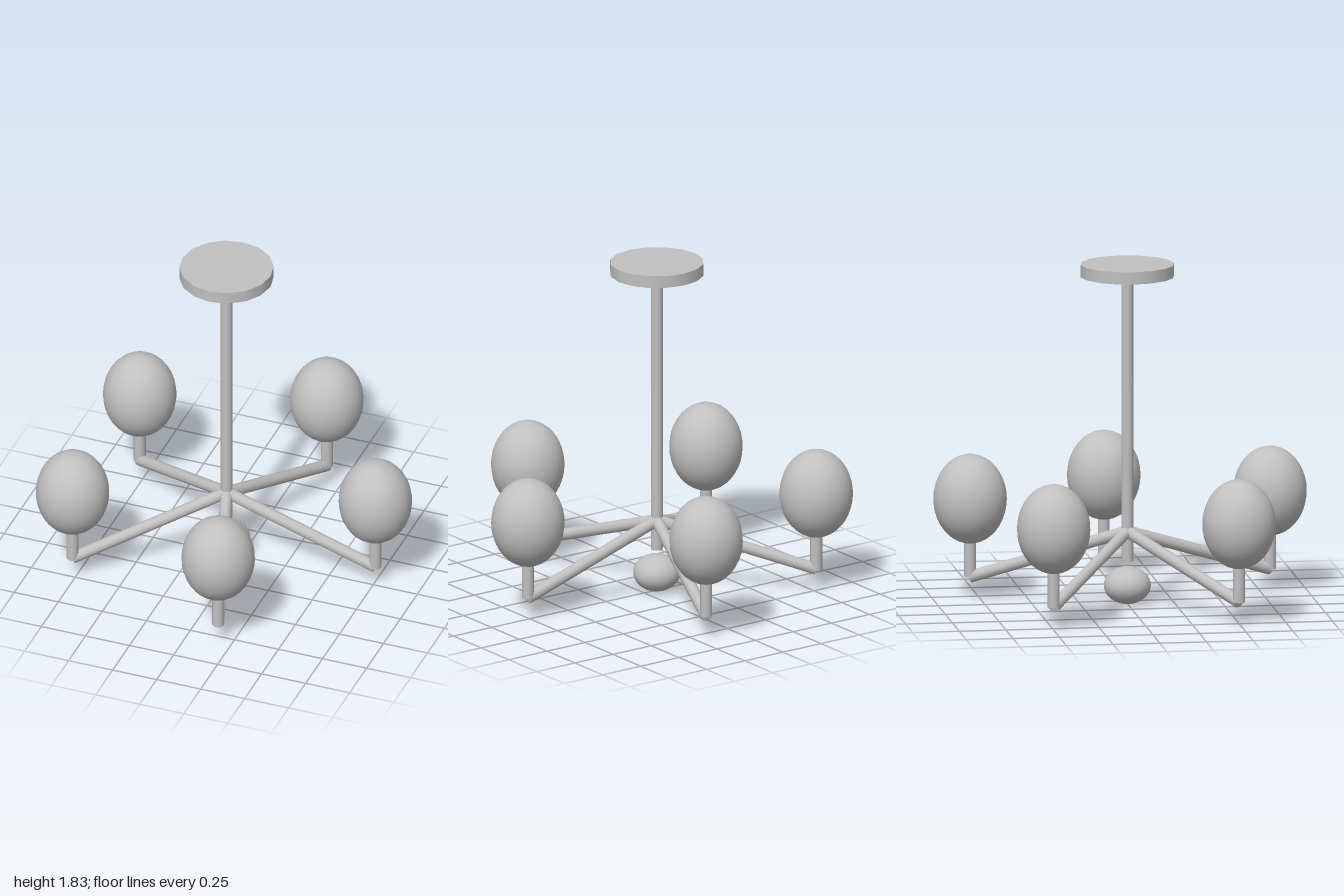
import * as THREE from 'three';

export function createModel() {
  const model = new THREE.Group();
  model.name = 'chandelier';
  const metal = new THREE.MeshStandardMaterial({ color: 0xc0c0c0 });
  metal.name = 'light grey';

  const add = (parent, name, geometry) => {
    const mesh = new THREE.Mesh(geometry, metal);
    mesh.name = name;
    parent.add(mesh);
    return mesh;
  };

  // Round bar between two points
  const bar = (parent, name, from, to, radius) => {
    const a = new THREE.Vector3(...from);
    const dir = new THREE.Vector3(...to).sub(a);
    const mesh = add(parent, name, new THREE.CylinderGeometry(radius, radius, dir.length(), 12));
    mesh.position.copy(a).addScaledVector(dir, 0.5);
    mesh.quaternion.setFromUnitVectors(new THREE.Vector3(0, 1, 0), dir.normalize());
  };

  // Everything hangs around one off-centre axis
  const body = new THREE.Group();
  body.name = 'body';
  body.position.x = -0.083;
  model.add(body);

  // Ceiling plate, hanging rod and finial
  add(body, 'ceilingPlate', new THREE.CylinderGeometry(0.25, 0.25, 0.066, 16)).position.y = 1.798;
  bar(body, 'hangingRod', [0, 0.23, 0], [0, 1.77, 0], 0.032);
  const finial = add(body, 'finial', new THREE.SphereGeometry(0.125, 32, 20));
  finial.scale.y = 0.8;
  finial.position.y = 0.1;

  // Five drooping arms, each with an upright stem and an egg-shaped globe
  const reach = 0.845;
  for (let i = 0; i < 5; i++) {
    const arm = new THREE.Group();
    arm.name = 'lampArm' + (i + 1);
    arm.rotation.y = (i * Math.PI * 2) / 5;
    bar(arm, 'arm', [0, 0.39, 0], [reach, 0.119, 0], 0.032);
    bar(arm, 'stem', [reach, 0.119, 0], [reach, 0.36, 0], 0.032);
    const globe = add(arm, 'globe', new THREE.SphereGeometry(0.195, 32, 20));
    globe.scale.y = 1.23;
    globe.position.set(reach, 0.54, 0);
    body.add(arm);
  }
  return model;
}
